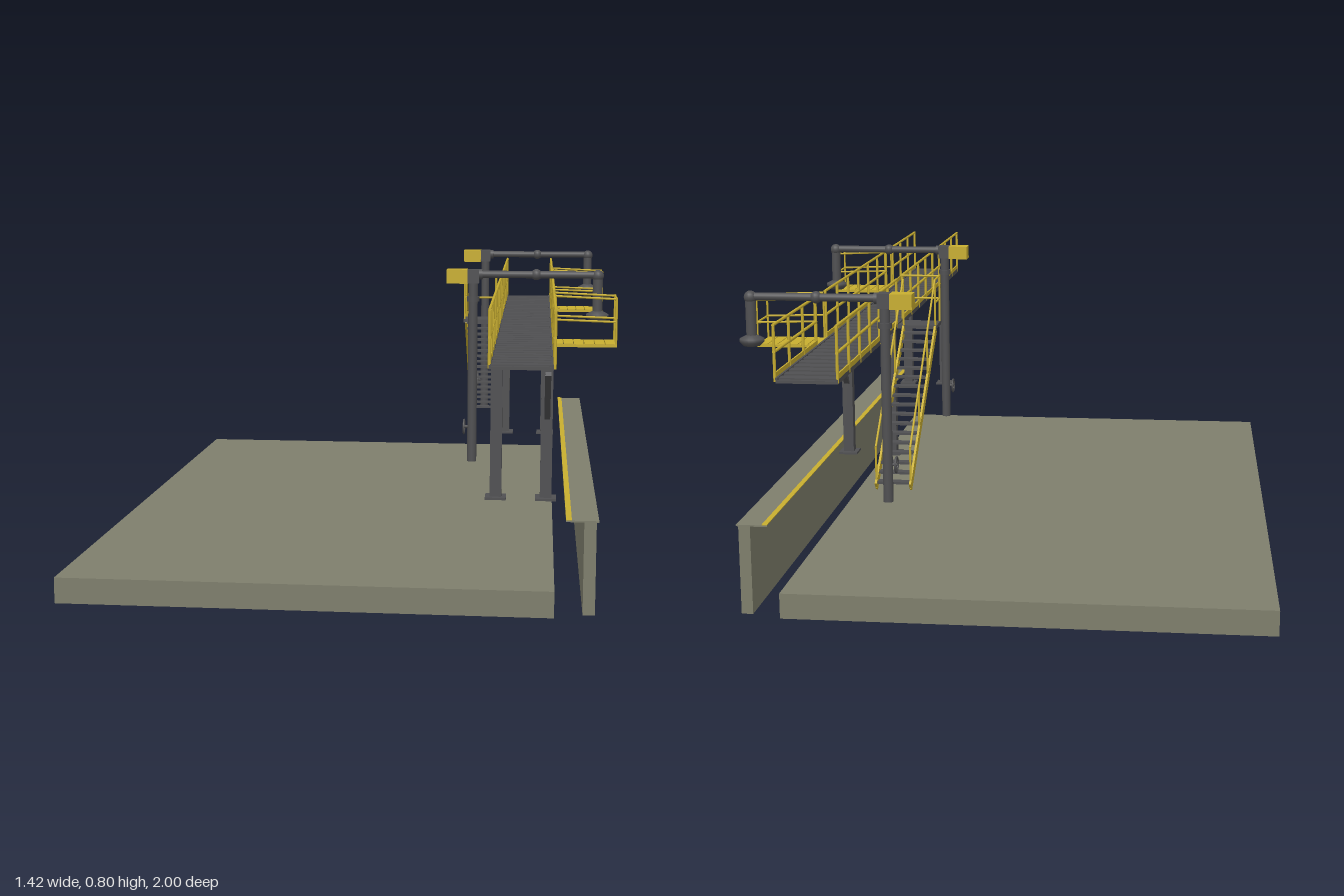
import * as THREE from 'three';

const mat = (name, color) => Object.assign(new THREE.MeshStandardMaterial({ color }), { name });

export function createModel() {
  const concrete = mat('concrete', 0x7e7e6c);
  const steel = mat('dark steel', 0x505052);
  const yellow = mat('safety yellow', 0xc8ae30);
  const root = new THREE.Group();
  root.name = 'loadingPlatform';

  const group = (name, parent = root) => {
    const g = new THREE.Group();
    g.name = name;
    parent.add(g);
    return g;
  };
  const add = (parent, name, geo, m, x = 0, y = 0, z = 0) => {
    const mesh = new THREE.Mesh(geo, m);
    mesh.name = name;
    mesh.position.set(x, y, z);
    parent.add(mesh);
    return mesh;
  };
  // Box given by its lower and upper limits
  const box = (parent, name, m, x0, x1, y0, y1, z0, z1) =>
    add(parent, name, new THREE.BoxGeometry(x1 - x0, y1 - y0, z1 - z0), m,
      (x0 + x1) / 2, (y0 + y1) / 2, (z0 + z1) / 2);
  // Round bar between two points
  const bar = (parent, name, m, a, b, r = 0.004, sides = 8) => {
    const p = new THREE.Vector3(...a), d = new THREE.Vector3(...b).sub(p);
    const mesh = add(parent, name, new THREE.CylinderGeometry(r, r, d.length(), sides), m);
    mesh.position.copy(p).addScaledVector(d, 0.5);
    mesh.quaternion.setFromUnitVectors(new THREE.Vector3(0, 1, 0), d.normalize());
    return mesh;
  };
  // Square bar lying in a plane of constant x
  const slopedBeam = (parent, name, m, x, a, b, w, h) => {
    const dz = b[0] - a[0], dy = b[1] - a[1];
    const mesh = add(parent, name, new THREE.BoxGeometry(w, h, Math.hypot(dz, dy)), m,
      x, (a[1] + b[1]) / 2, (a[0] + b[0]) / 2);
    mesh.rotation.x = -Math.atan2(dy, dz);
    return mesh;
  };

  // Ground slab and kerb wall
  box(root, 'groundSlab', concrete, -0.71, 0.547, 0, 0.067, -1, 1);
  const wall = group('kerbWall');
  box(wall, 'wallPanel', concrete, 0.616, 0.646, 0.01, 0.242, -1, 1);
  box(wall, 'wallCap', concrete, 0.572, 0.652, 0.242, 0.246, -1, 1);
  box(wall, 'edgeStripe', yellow, 0.572, 0.586, 0.246, 0.248, -1, 1);

  // Walkway deck with slats and edge channels
  const deck = group('walkway');
  box(deck, 'deckPlate', steel, 0.38, 0.537, 0.612, 0.62, -1, 1);
  for (const x of [0.38, 0.531]) box(deck, 'edgeChannel', steel, x, x + 0.006, 0.612, 0.626, -1, 1);
  for (let i = 0; i < 40; i++) {
    const z = -0.975 + i * 0.05;
    box(deck, 'deckSlat', steel, 0.386, 0.531, 0.62, 0.624, z - 0.016, z + 0.016);
  }

  // Portal frames carrying the walkway
  for (const z of [0.75, -0.25]) {
    const frame = group('supportFrame');
    for (const x of [0.394, 0.523]) {
      box(frame, 'column', steel, x - 0.015, x + 0.015, 0.25, 0.6, z - 0.014, z + 0.014);
      box(frame, 'basePlate', steel, x - 0.027, x + 0.027, 0.244, 0.25, z - 0.028, z + 0.028);
    }
    box(frame, 'crossBeam', steel, 0.379, 0.538, 0.59, 0.612, z - 0.014, z + 0.014);
    for (const s of [1, -1])
      slopedBeam(frame, 'brace', steel, 0.524, [z, 0.45], [z + s * 0.15, 0.59], 0.015, 0.012);
  }

  // Straight guard rail along z with posts, two rails and a toe board
  const guardRail = (name, x, z0, z1) => {
    const g = group(name);
    for (const y of [0.757, 0.69]) bar(g, 'rail', yellow, [x, y, z0], [x, y, z1]);
    box(g, 'toeBoard', yellow, x - 0.002, x + 0.002, 0.624, 0.638, z0, z1);
    const n = Math.max(1, Math.round((z1 - z0) / 0.14));
    for (let i = 0; i <= n; i++) {
      const z = THREE.MathUtils.lerp(z0 + 0.004, z1 - 0.004, i / n);
      bar(g, 'post', yellow, [x, 0.615, z], [x, 0.757, z]);
    }
  };
  guardRail('leftGuardRail', 0.539, 0.556, 1);
  guardRail('leftGuardRail', 0.539, -0.444, 0.444);
  guardRail('leftGuardRail', 0.539, -1, -0.556);
  guardRail('rightGuardRail', 0.382, -0.115, 1);
  guardRail('rightGuardRail', 0.382, -1, -0.205);

  // Folding gangways with slatted floors and a rail cage
  for (const z of [0.5, -0.5]) {
    const g = group('gangway');
    const x0 = 0.543, x1 = 0.704;
    for (let i = 0; i < 6; i++)
      box(g, 'tread', yellow, 0.538 + i * 0.0278, 0.5635 + i * 0.0278, 0.62, 0.626, z - 0.055, z + 0.055);
    for (const s of [1, -1]) {
      const zs = z + s * 0.054;
      box(g, 'sideBeam', yellow, 0.538, 0.706, 0.617, 0.625, zs - 0.003, zs + 0.003);
      for (const x of [x0, x1]) bar(g, 'cagePost', yellow, [x, 0.62, zs], [x, 0.75, zs], 0.003);
      bar(g, 'topRail', yellow, [x0, 0.753, zs], [x1, 0.746, zs], 0.003);
      bar(g, 'midRail', yellow, [x0, 0.69, zs], [x1, 0.685, zs], 0.003);
    }
    for (const y of [0.746, 0.685])
      bar(g, 'endRail', yellow, [x1, y, z - 0.054], [x1, y, z + 0.054], 0.003);
  }

  // Access stair and landing
  const stair = group('stair');
  box(stair, 'landing', steel, 0.265, 0.382, 0.612, 0.622, -0.205, -0.115);
  const low = [-0.65, 0.255], high = [-0.2, 0.612];
  for (let i = 0; i < 17; i++) {
    const t = (i + 0.5) / 17;
    const z = THREE.MathUtils.lerp(low[0], high[0], t), y = THREE.MathUtils.lerp(low[1], high[1], t);
    box(stair, 'stairTread', steel, 0.27, 0.362, y - 0.003, y + 0.003, z - 0.0125, z + 0.0125);
  }
  for (const x of [0.269, 0.363]) {
    slopedBeam(stair, 'stringer', yellow, x, low, high, 0.006, 0.026);
    bar(stair, 'handrail', yellow, [x, 0.365, -0.645], [x, 0.757, -0.2], 0.003);
    for (const t of [0, 0.333, 0.667, 1]) {
      const z = -0.645 + t * 0.445;
      bar(stair, 'handrailPost', yellow, [x, 0.25 + t * 0.36, z], [x, 0.365 + t * 0.392, z], 0.003);
    }
  }
  for (const y of [0.757, 0.69]) {
    bar(stair, 'landingRail', yellow, [0.269, y, -0.2], [0.269, y, -0.118], 0.003);
    bar(stair, 'landingRail', yellow, [0.269, y, -0.118], [0.382, y, -0.118], 0.003);
  }
  bar(stair, 'landingPost', yellow, [0.269, 0.615, -0.118], [0.269, 0.757, -0.118], 0.003);

  // Loading arms: riser, counterweight, jointed boom and drop pipe
  for (const z of [0.25, -0.75]) {
    const arm = group('loadingArm');
    bar(arm, 'riser', steel, [0.31, 0.244, z], [0.31, 0.78, z], 0.0135, 16);
    bar(arm, 'riserCollar', steel, [0.31, 0.71, z], [0.31, 0.725, z], 0.018, 16);
    box(arm, 'pivotBlock', steel, 0.293, 0.327, 0.763, 0.802, z - 0.02, z + 0.02);
    box(arm, 'counterweight', yellow, 0.235, 0.294, 0.762, 0.802, z - 0.023, z + 0.023);
    bar(arm, 'boom', steel, [0.32, 0.788, z], [0.665, 0.788, z], 0.0105, 16);
    bar(arm, 'boomCollar', steel, [0.327, 0.788, z], [0.337, 0.788, z], 0.015, 16);
    add(arm, 'boomJoint', new THREE.SphereGeometry(0.016, 16, 12), steel, 0.49, 0.788, z);
    add(arm, 'elbow', new THREE.SphereGeometry(0.017, 16, 12), steel, 0.664, 0.786, z);
    bar(arm, 'dropPipe', steel, [0.664, 0.68, z], [0.664, 0.786, z], 0.014, 16);
    const profile = [[0, 0.658], [0.022, 0.658], [0.032, 0.668], [0.032, 0.677], [0.014, 0.686], [0, 0.686]];
    add(arm, 'loadingCone', new THREE.LatheGeometry(profile.map(p => new THREE.Vector2(...p)), 20), steel, 0.664, 0, z);
    // Handwheel valve on the riser
    add(arm, 'handwheel', new THREE.TorusGeometry(0.02, 0.003, 8, 24), steel, 0.287, 0.345, z).rotation.y = Math.PI / 2;
    bar(arm, 'valveStem', steel, [0.285, 0.345, z], [0.31, 0.345, z], 0.004);
    bar(arm, 'wheelSpoke', steel, [0.287, 0.325, z], [0.287, 0.365, z], 0.002);
    bar(arm, 'wheelSpoke', steel, [0.287, 0.345, z - 0.02], [0.287, 0.345, z + 0.02], 0.002);
  }
  return root;
}
